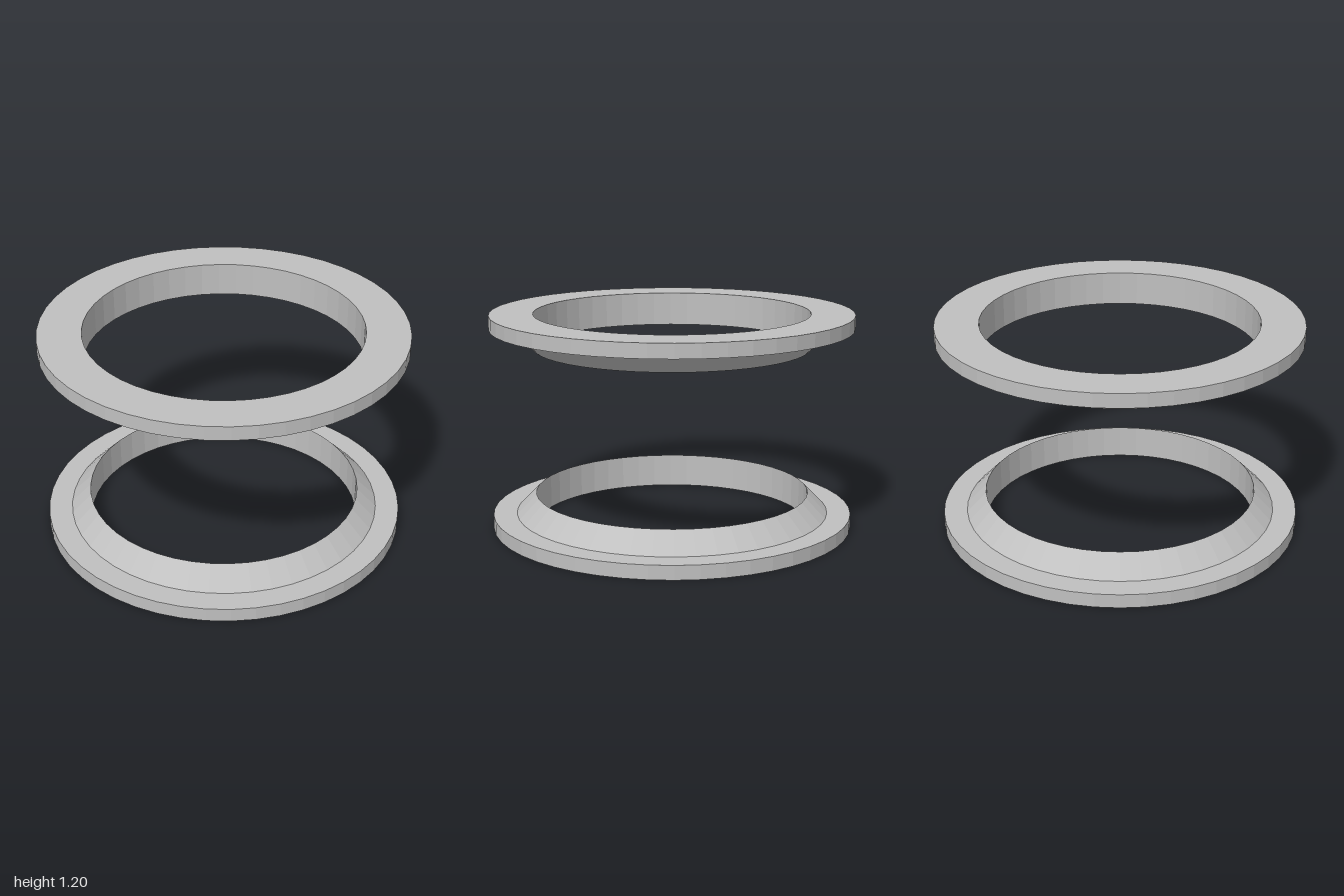
import * as THREE from 'three';

const HEIGHT = 1.195;
const SEGMENTS = 48;

// Flange cross-section as [radius, height], counter-clockwise: flat rim, bevelled collar, straight bore
const PROFILE = [
  [0.76, 0], [1, 0], [1, 0.078], [0.87, 0.078], [0.76, 0.19], [0.76, 0],
];

// Revolve a closed cross-section into a faceted ring
function makeRing(name, profile, material) {
  const points = profile.map(([r, y]) => new THREE.Vector2(r, y));
  const geometry = new THREE.LatheGeometry(points, SEGMENTS).toNonIndexed();
  geometry.computeVertexNormals();
  const mesh = new THREE.Mesh(geometry, material);
  mesh.name = name;
  return mesh;
}

export function createModel() {
  const model = new THREE.Group();
  model.name = 'flangeRingPair';
  const grey = new THREE.MeshStandardMaterial({ color: 0xc0c0c0 });
  grey.name = 'light grey';

  // Lower ring has its collar facing up; the upper ring mirrors it
  const mirrored = PROFILE.map(([r, y]) => [r, HEIGHT - y]).reverse();
  model.add(makeRing('lowerRing', PROFILE, grey));
  model.add(makeRing('upperRing', mirrored, grey));
  return model;
}
